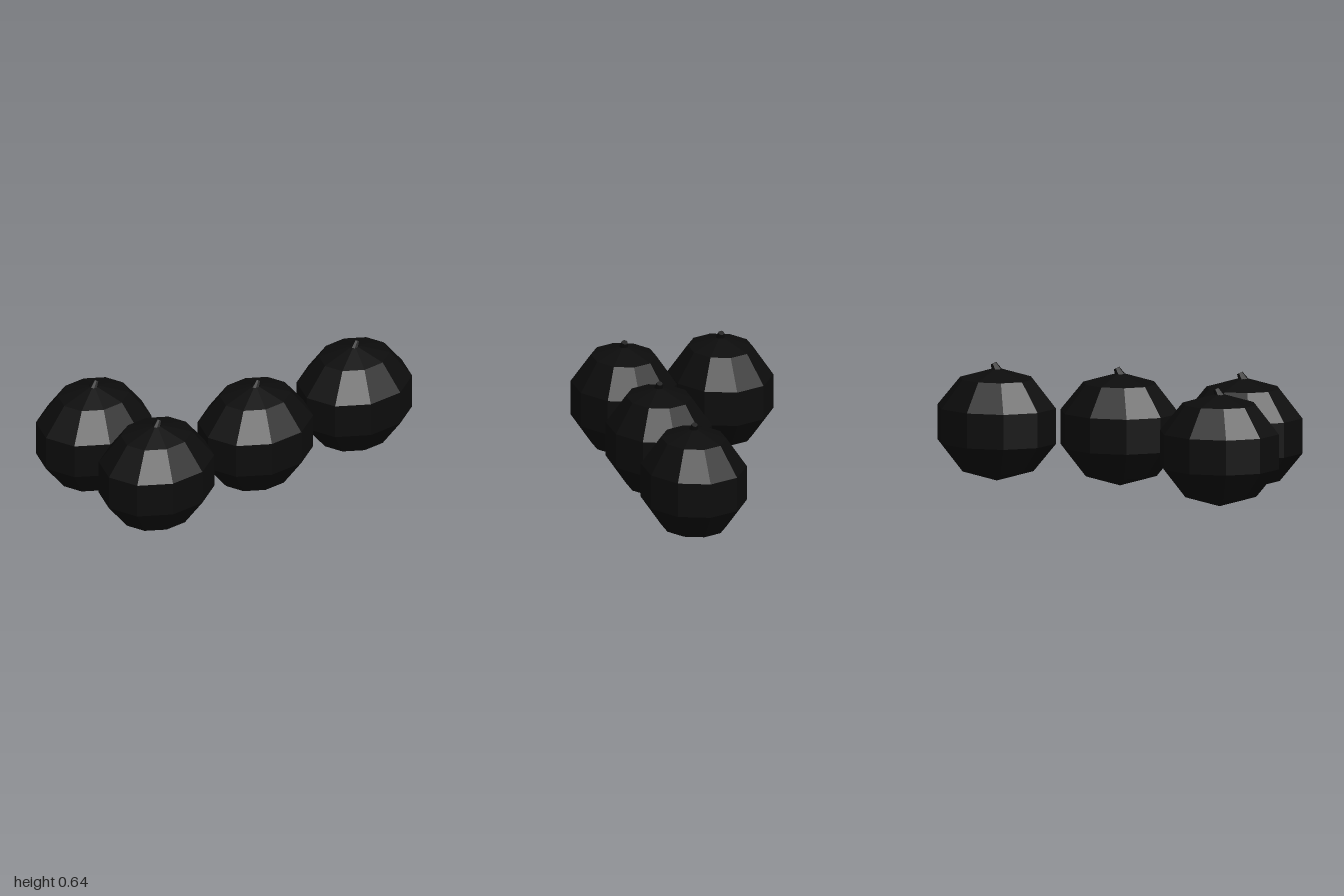
import * as THREE from 'three';

export function createModel() {
  const model = new THREE.Group();
  const nearBlack = new THREE.MeshStandardMaterial({ color: 0x0c0c0c, flatShading: true });
  nearBlack.name = 'nearBlack';

  // Faceted gourd body and its leaning stalk, shared by every gourd
  const bodyGeometry = new THREE.SphereGeometry(1, 10, 5).scale(0.3417, 0.3055, 0.2935);
  const stalkGeometry = new THREE.CylinderGeometry(0.016, 0.03, 0.06, 10)
    .rotateZ(-0.48)
    .translate(0.005, 0.606, 0);

  function makeGourd(x, z) {
    const gourd = new THREE.Group();
    gourd.name = 'gourd';
    const body = new THREE.Mesh(bodyGeometry, nearBlack);
    body.name = 'body';
    body.position.y = 0.3055;
    const stalk = new THREE.Mesh(stalkGeometry, nearBlack);
    stalk.name = 'stalk';
    gourd.add(body, stalk);
    gourd.position.set(x, 0, z);
    return gourd;
  }

  // Three in the front row, one behind the right-hand end
  const spots = [[-0.675, 0.268], [0, 0.268], [0.675, 0.268], [-0.675, -0.268]];
  for (const [x, z] of spots) model.add(makeGourd(x, z));

  return model;
}
